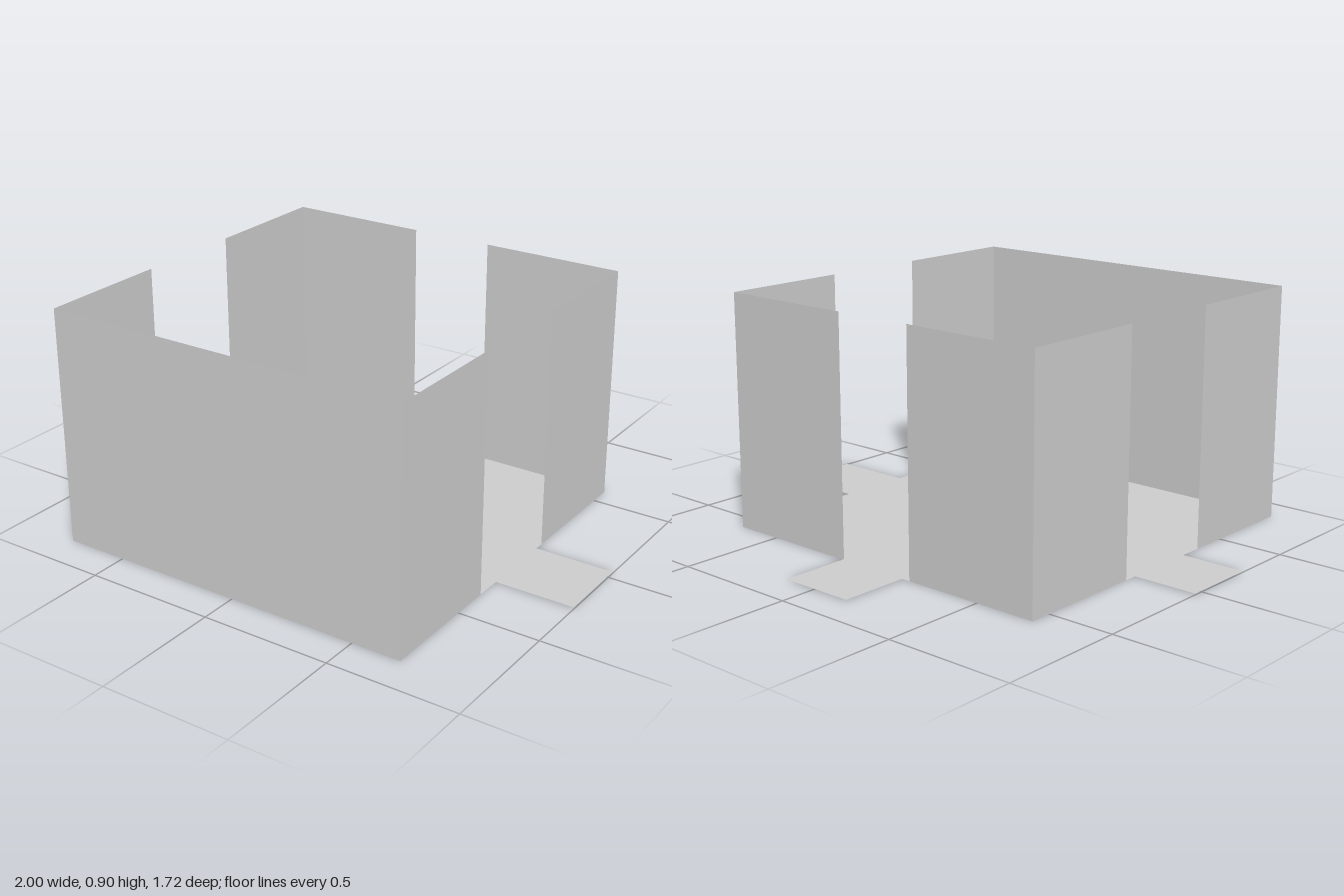
import * as THREE from 'three';

const material = new THREE.MeshStandardMaterial({ color: 0xcccccc, side: THREE.DoubleSide, flatShading: true });

// Room outline, wall height and openings
const X0 = -0.742, X1 = 0.69, Z0 = -0.585, Z1 = 0.857, H = 0.905;
const SIDE_GAP = [-0.08, 0.353], BACK_GAP = [-0.188, 0.137];
const MAT_Y = 0.004;

export function createModel() {
  const room = new THREE.Group();
  room.name = 'room';

  const add = (name, geometry) => {
    const mesh = new THREE.Mesh(geometry, material);
    mesh.name = name;
    room.add(mesh);
  };
  // Horizontal sheet facing up
  const sheet = (name, x0, x1, z0, z1, y) =>
    add(name, new THREE.PlaneGeometry(x1 - x0, z1 - z0).rotateX(-Math.PI / 2)
      .translate((x0 + x1) / 2, y, (z0 + z1) / 2));
  // Upright panel along x
  const wallX = (name, x0, x1, z) =>
    add(name, new THREE.PlaneGeometry(x1 - x0, H).translate((x0 + x1) / 2, H / 2, z));
  // Upright panel along z
  const wallZ = (name, z0, z1, x) =>
    add(name, new THREE.PlaneGeometry(z1 - z0, H).rotateY(Math.PI / 2)
      .translate(x, H / 2, (z0 + z1) / 2));

  sheet('floor', X0, X1, Z0, Z1, 0);
  wallX('frontWall', X0, X1, Z1);

  // Back wall, split by a doorway
  wallX('backWallRight', X0, BACK_GAP[0], Z0);
  wallX('backWallLeft', BACK_GAP[1], X1, Z0);

  // Side walls, each split by a doorway
  for (const [side, x] of [['right', X0], ['left', X1]]) {
    wallZ(side + 'WallBack', Z0, SIDE_GAP[0], x);
    wallZ(side + 'WallFront', SIDE_GAP[1], Z1, x);
  }

  // Doormats lying across the three doorways
  sheet('rightDoormat', -1, -0.645, -0.037, 0.255, MAT_Y);
  sheet('leftDoormat', 0.643, 0.998, -0.037, 0.255, MAT_Y);
  sheet('backDoormat', -0.16, 0.135, -0.86, -0.508, MAT_Y);

  return room;
}
